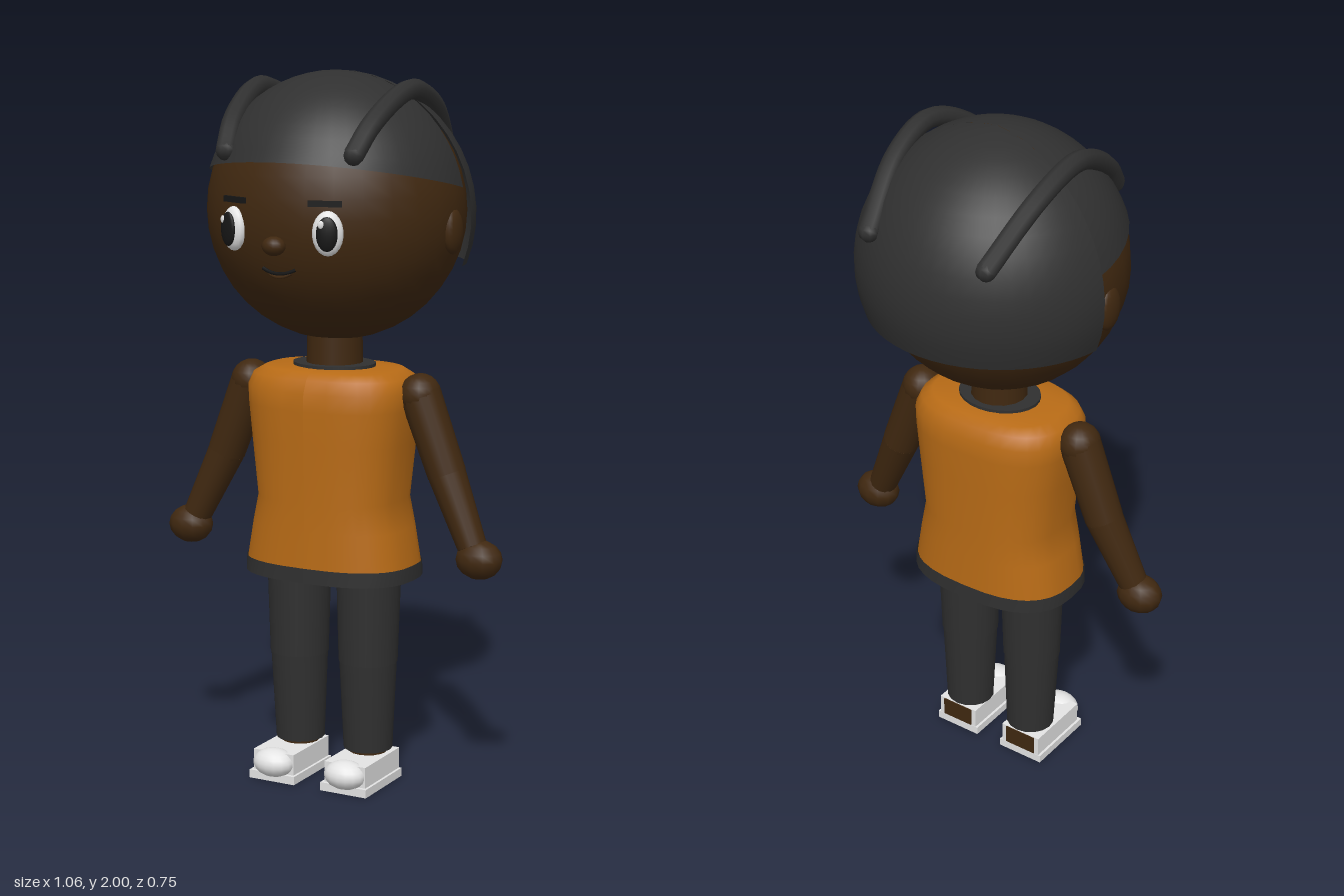
import * as THREE from 'three';

const mat = (name, color, side = THREE.FrontSide) => {
  const m = new THREE.MeshStandardMaterial({ color, side });
  m.name = name;
  return m;
};

// Surface over u, v in 0..1 from a point rule
function surface(nu, nv, rule) {
  const pos = [], idx = [];
  for (let j = 0; j <= nv; j++)
    for (let i = 0; i <= nu; i++) pos.push(...rule(i / nu, j / nv));
  for (let j = 0; j < nv; j++)
    for (let i = 0; i < nu; i++) {
      const a = j * (nu + 1) + i, b = a + nu + 1;
      idx.push(a, b, a + 1, b, b + 1, a + 1);
    }
  const g = new THREE.BufferGeometry();
  g.setAttribute('position', new THREE.Float32BufferAttribute(pos, 3));
  g.setIndex(idx);
  g.computeVertexNormals();
  return g;
}

// Stack of rounded-box rings, each [y, half width, half depth], from top to bottom
function ringStack(rings, zMid) {
  const n = 32, k = 2 / 2.6;
  const bend = (v) => Math.sign(v) * Math.abs(v) ** k;
  return surface(n, rings.length - 1, (u, v) => {
    const [y, w, d] = rings[Math.round(v * (rings.length - 1))];
    const a = u * Math.PI * 2;
    return [w * bend(Math.sin(a)), y, zMid + d * bend(Math.cos(a))];
  });
}

export function createModel() {
  const model = new THREE.Group();
  model.name = 'child';
  const skin = mat('skin', 0x402810);
  const dark = mat('charcoal', 0x303030, THREE.DoubleSide);
  const orange = mat('orange cloth', 0xb86b16, THREE.DoubleSide);
  const white = mat('white', 0xe4e4e4);
  const black = mat('black', 0x161616);

  const add = (name, geo, material, p = [0, 0, 0], s = [1, 1, 1], parent = model) => {
    const m = new THREE.Mesh(geo, material);
    m.name = name;
    m.position.set(...p);
    m.scale.set(...s);
    parent.add(m);
    return m;
  };
  const ball = (name, material, p, s, parent, n = 16) =>
    add(name, new THREE.SphereGeometry(1, n, Math.round(n * 0.7)), material, p, s, parent);
  const box = (name, material, p, s, parent) =>
    add(name, new THREE.BoxGeometry(...s), material, p, [1, 1, 1], parent);
  // Tapered limb from a to b
  const limb = (name, material, a, b, ra, rb) => {
    const A = new THREE.Vector3(...a), B = new THREE.Vector3(...b);
    const dir = A.clone().sub(B);
    const mid = A.clone().add(B).multiplyScalar(0.5);
    const m = add(name, new THREE.CylinderGeometry(ra, rb, dir.length(), 16), material, mid.toArray());
    m.quaternion.setFromUnitVectors(new THREE.Vector3(0, 1, 0), dir.normalize());
    return m;
  };

  // Head and neck
  ball('head', skin, [0, 1.62, 0], [0.365, 0.36, 0.34], model, 28);
  limb('neck', skin, [0, 1.3, 0.01], [0, 1.16, 0.01], 0.077, 0.08);
  ball('nose', skin, [0, 1.55, 0.347], [0.033, 0.026, 0.028]);

  // Hair: short sloping front cap and a longer back panel
  const cy = 1.62, ry = 0.38, step = 1.73;
  const frontHair = surface(24, 12, (u, v) => {
    const phi = (u * 2 - 1) * step;
    const edgeY = 1.69 + 0.2 * (0.34 * Math.cos(phi) + 0.05);
    const t = v * Math.acos((edgeY - cy) / ry);
    return [0.37 * Math.sin(t) * Math.sin(phi), cy + ry * Math.cos(t), 0.355 * Math.sin(t) * Math.cos(phi)];
  });
  add('frontHair', frontHair, dark);
  const backHair = surface(24, 14, (u, v) => {
    const phi = step + u * (Math.PI * 2 - step * 2);
    const t = v * Math.acos((1.475 - cy) / ry);
    const flare = 0.37 + 0.022 * v;
    const r = flare * Math.sin(t);
    return [r * Math.sin(phi), cy + ry * Math.cos(t), r * 0.97 * Math.cos(phi)];
  });
  add('backHair', backHair, dark);

  // Face
  const smile = (y, w, dip, z) => new THREE.TubeGeometry(new THREE.QuadraticBezierCurve3(
    new THREE.Vector3(-w, y, z - 0.008), new THREE.Vector3(0, y - dip, z), new THREE.Vector3(w, y, z - 0.008)), 10, 0.005, 6);
  add('mouth', smile(1.487, 0.05, 0.026, 0.326), black);
  add('lowerLip', smile(1.476, 0.035, 0.022, 0.325), skin);

  for (const s of [1, -1]) {
    const tag = s > 0 ? 'left' : 'right';

    // Eye, brow, ear
    const eye = new THREE.Group();
    eye.name = tag + 'Eye';
    eye.position.set(s * 0.143, 1.587, 0.311);
    eye.rotation.y = s * 0.38;
    model.add(eye);
    ball('eyeWhite', white, [0, 0, 0], [0.042, 0.06, 0.025], eye);
    ball('pupil', black, [0, 0, 0.02], [0.029, 0.046, 0.01], eye);
    ball('eyeGlint', white, [-0.015, 0.025, 0.026], [0.009, 0.011, 0.004], eye, 8);
    const brow = box(tag + 'Brow', black, [s * 0.137, 1.665, 0.316], [0.09, 0.016, 0.009]);
    brow.rotation.y = s * 0.4;
    ball(tag + 'Ear', skin, [s * 0.357, 1.575, 0], [0.022, 0.062, 0.045]);

    // Braid over the crown
    const path = [[0.195, 1.79, 0.265], [0.212, 1.865, 0.2], [0.23, 1.94, 0.07],
      [0.235, 1.952, -0.01], [0.225, 1.9, -0.15], [0.187, 1.765, -0.31]];
    const curve = new THREE.CatmullRomCurve3(path.map(([x, y, z]) => new THREE.Vector3(s * x, y, z)));
    add(tag + 'Braid', new THREE.TubeGeometry(curve, 24, 0.028, 8), dark);
    for (const p of [path[0], path[5]]) ball(tag + 'BraidEnd', dark, [s * p[0], p[1], p[2]], [0.028, 0.028, 0.028], model, 8);

    // Arm
    const shoulder = [s * 0.268, 1.125, 0.012], elbow = [s * 0.352, 0.91, 0.014], wrist = [s * 0.44, 0.72, 0.034];
    ball(tag + 'Shoulder', skin, shoulder, [0.058, 0.058, 0.06]);
    limb(tag + 'UpperArm', skin, shoulder, elbow, 0.058, 0.054);
    ball(tag + 'Elbow', skin, elbow, [0.053, 0.053, 0.053]);
    limb(tag + 'Forearm', skin, elbow, wrist, 0.053, 0.041);
    ball(tag + 'Hand', skin, [s * 0.462, 0.687, 0.036], [0.067, 0.055, 0.055], model, 12);

    // Trouser leg and ankle
    limb(tag + 'Thigh', dark, [s * 0.112, 0.68, 0.016], [s * 0.111, 0.35, 0.018], 0.094, 0.084);
    limb(tag + 'Shin', dark, [s * 0.111, 0.355, 0.018], [s * 0.11, 0.095, 0.015], 0.082, 0.07);
    limb(tag + 'Ankle', skin, [s * 0.11, 0.12, 0.015], [s * 0.11, 0.05, 0.015], 0.055, 0.055);

    // Shoe
    box(tag + 'Sole', white, [s * 0.115, 0.012, 0.065], [0.145, 0.024, 0.22]);
    box(tag + 'ShoeUpper', white, [s * 0.115, 0.052, 0.06], [0.13, 0.064, 0.208]);
    ball(tag + 'ToeCap', white, [s * 0.115, 0.053, 0.16], [0.063, 0.041, 0.05]);
    box(tag + 'HeelPatch', skin, [s * 0.115, 0.054, -0.044], [0.1, 0.056, 0.006]);
    box(tag + 'SolePatch', skin, [s * 0.115, 0.001, 0.065], [0.1, 0.004, 0.13]);
  }

  // Sleeveless top, hem and collar
  add('shirt', ringStack([[1.188, 0.1, 0.09], [1.184, 0.195, 0.14], [1.165, 0.228, 0.16], [1.13, 0.243, 0.176],
    [1.08, 0.24, 0.178], [0.98, 0.229, 0.176], [0.82, 0.21, 0.173], [0.74, 0.228, 0.174], [0.635, 0.247, 0.176]], 0.014), orange);
  add('hem', ringStack([[0.64, 0.25, 0.178], [0.598, 0.252, 0.179]], 0.014), dark);
  add('collar', new THREE.CylinderGeometry(1, 1, 0.02, 24), dark, [0, 1.186, 0.012], [0.12, 1, 0.1]);

  return model;
}
